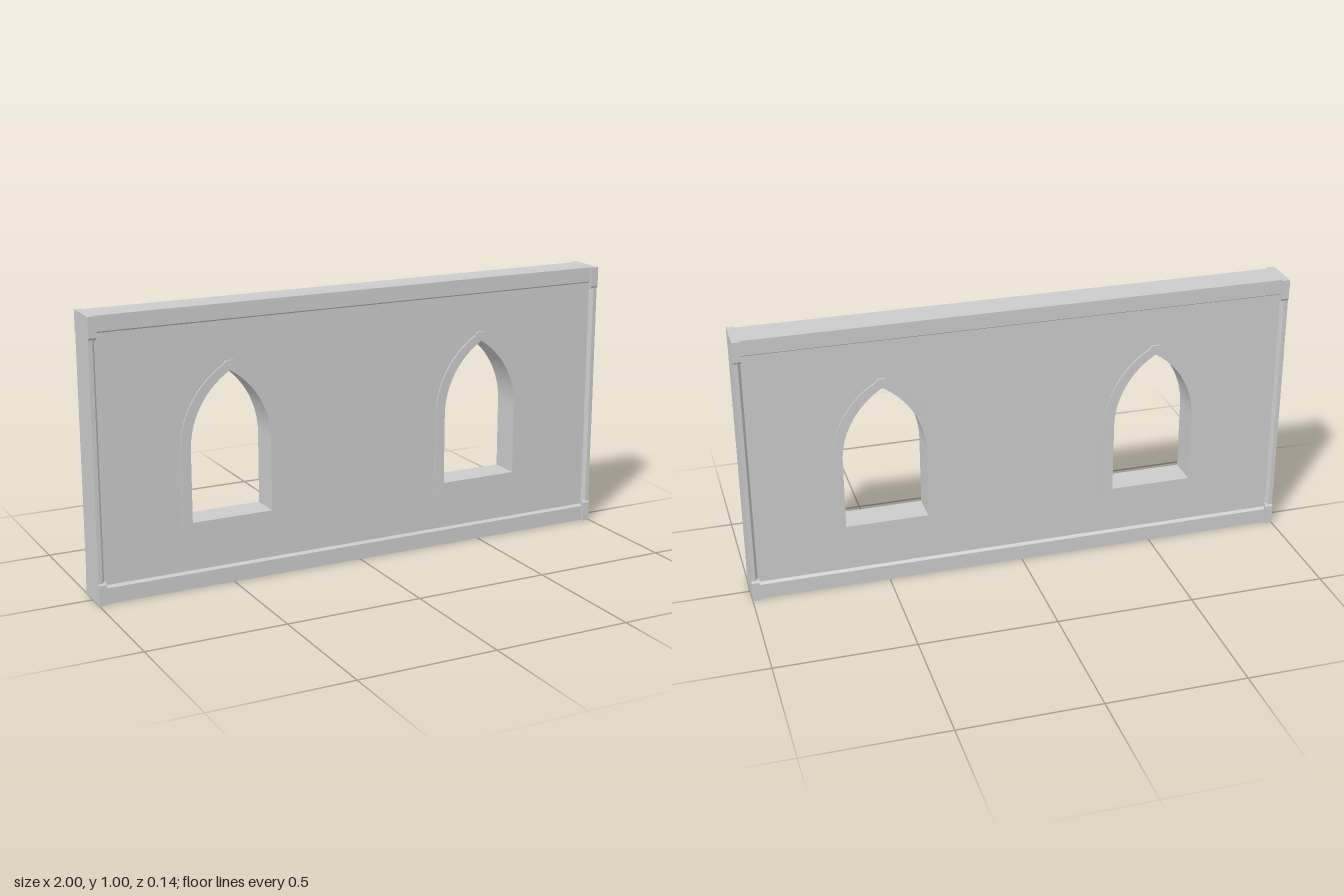
import * as THREE from 'three';

const material = new THREE.MeshStandardMaterial({ color: 0xcccccc });

// Pointed arch outline: straight jambs, two arcs meeting at the apex
function archPath(Type, x, half, bottom, spring, apex) {
  const h = apex - spring;
  const c = (half * half - h * h) / (2 * half);
  const r = half - c;
  const a = Math.acos(-c / r);
  const p = new Type();
  p.moveTo(x - half, bottom);
  p.lineTo(x + half, bottom);
  p.lineTo(x + half, spring);
  p.absarc(x + c, spring, r, 0, a, false);
  p.absarc(x - c, spring, r, Math.PI - a, Math.PI, false);
  p.closePath();
  return p;
}

const polygon = (points) => new THREE.Shape(points.map(([x, y]) => new THREE.Vector2(x, y)));

// Extrusion centred on its own depth axis
function extrude(name, shape, depth) {
  const geometry = new THREE.ExtrudeGeometry(shape, { depth, bevelEnabled: false, curveSegments: 16 });
  geometry.translate(0, 0, -depth / 2);
  const mesh = new THREE.Mesh(geometry, material);
  mesh.name = name;
  return mesh;
}

// Bar section: full width at one end, chamfered down to the panel at the other
const section = (w, length, inner, chamfer) => polygon([
  [-w, 0], [w, 0], [w, length - chamfer], [inner, length], [-inner, length], [-w, length - chamfer],
]);

export function createModel() {
  const model = new THREE.Group();
  const windows = [-0.5, 0.5];

  // Wall panel pierced by the windows
  const wall = polygon([[-0.99, 0.02], [0.99, 0.02], [0.99, 0.98], [-0.99, 0.98]]);
  for (const x of windows) wall.holes.push(archPath(THREE.Path, x, 0.18, 0.212, 0.5, 0.792));
  model.add(extrude('wallPanel', wall, 0.1));

  // Raised window surrounds with a small apex stone
  for (const x of windows) {
    const frame = archPath(THREE.Shape, x, 0.187, 0.205, 0.5, 0.8);
    frame.holes.push(archPath(THREE.Path, x, 0.15, 0.24, 0.5, 0.765));
    model.add(extrude('windowFrame', frame, 0.112));
    const key = polygon([[x, 0.763], [x + 0.02, 0.792], [x + 0.014, 0.8], [x - 0.014, 0.8], [x - 0.02, 0.792]]);
    model.add(extrude('apexStone', key, 0.115));
  }

  // Base and top rails running the full length
  const base = extrude('baseRail', section(0.06, 0.065, 0.05, 0.008), 1.96);
  base.rotation.y = Math.PI / 2;
  const top = extrude('topRail', section(0.06, 0.06, 0.05, 0.006), 1.96);
  top.rotation.set(Math.PI, Math.PI / 2, 0);
  top.position.y = 1;
  model.add(base, top);

  for (const side of [-1, 1]) {
    // End posts, chamfered toward the panel
    const post = extrude('endPost', section(0.065, 0.025, 0.05, 0.01), 0.96);
    post.rotation.set(-Math.PI / 2, 0, side * Math.PI / 2);
    post.position.set(side, 0.5, 0);
    model.add(post);

    // Corner blocks at the foot and head of each post
    for (const up of [-1, 1]) {
      const block = extrude('cornerBlock', section(0.07, 0.08, 0.064, 0.008), 0.028);
      block.rotation.set(up > 0 ? Math.PI : 0, Math.PI / 2, 0);
      block.position.set(side * 0.986, up > 0 ? 1 : 0, 0);
      model.add(block);
    }
  }
  return model;
}
